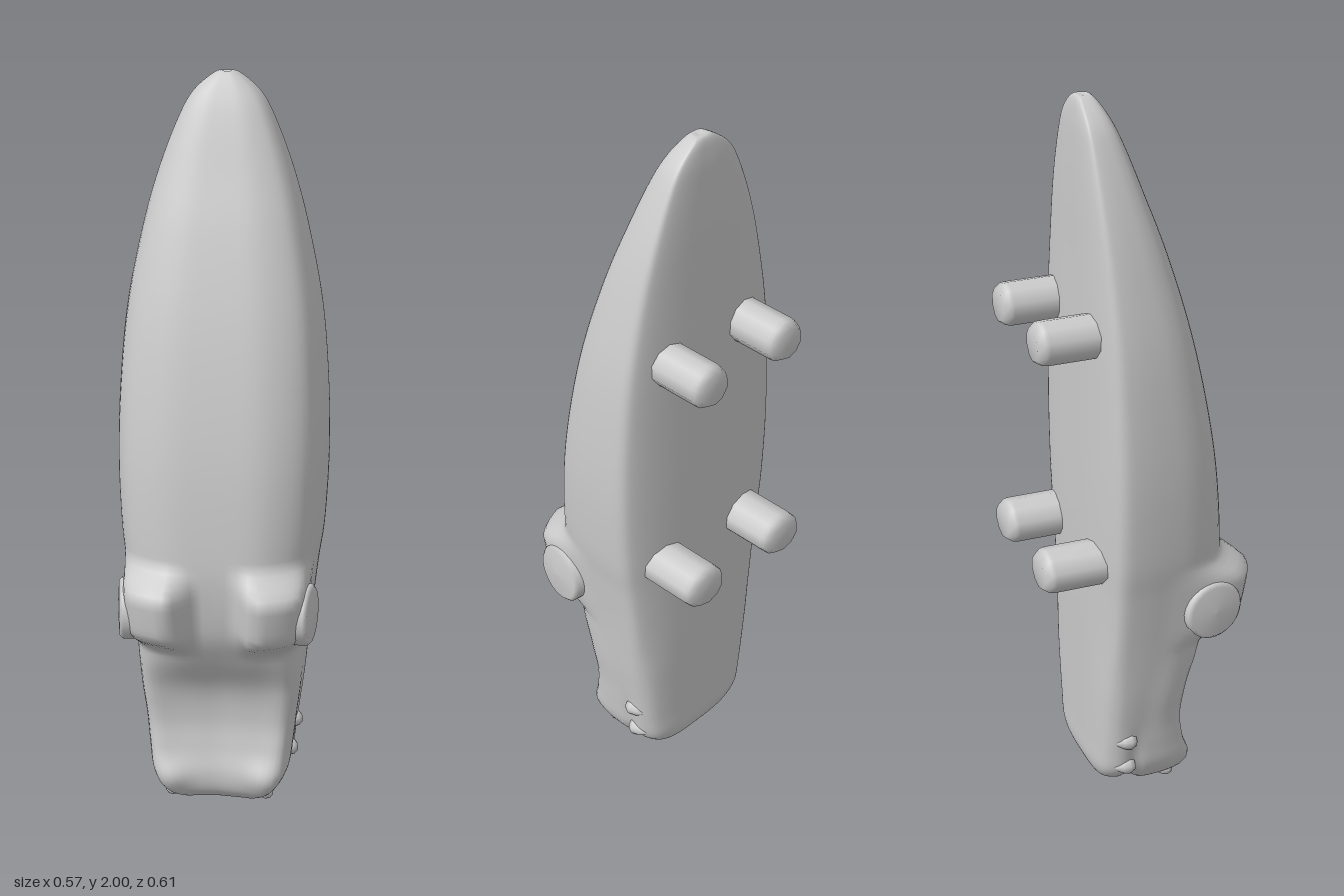
import * as THREE from 'three';

const material = () => new THREE.MeshStandardMaterial({ color: 0xcccccc });
const smooth = THREE.MathUtils.smoothstep;

// Body sections from tail tip to nose: height, half width, back z, front z
const SECTIONS = [
  [2.0, 0.0, -0.105, -0.105], [1.998, 0.03, -0.128, -0.085], [1.95, 0.088, -0.138, -0.052],
  [1.88, 0.128, -0.142, -0.02], [1.75, 0.178, -0.145, 0.027], [1.6, 0.22, -0.146, 0.08],
  [1.4, 0.26, -0.148, 0.138], [1.2, 0.279, -0.149, 0.183], [1.0, 0.285, -0.15, 0.216],
  [0.8, 0.276, -0.149, 0.234], [0.68, 0.26, -0.147, 0.235], [0.55, 0.245, -0.146, 0.215],
  [0.45, 0.235, -0.145, 0.175], [0.35, 0.225, -0.144, 0.125], [0.25, 0.212, -0.143, 0.108],
  [0.17, 0.203, -0.142, 0.118], [0.1, 0.192, -0.141, 0.135], [0.05, 0.165, -0.132, 0.128],
  [0.02, 0.125, -0.115, 0.1], [0.008, 0.08, -0.085, 0.06], [0.004, 0.0, -0.02, -0.02],
];

// Half outlines of a section: x as a share of half width, z as a share of depth
const outline = (pts) => new THREE.CatmullRomCurve3(
  pts.map(([x, z]) => new THREE.Vector3(x, z, 0)), false, 'catmullrom', 0.5);
const BODY = outline([[0, 0], [0.35, 0.002], [0.65, 0.025], [0.88, 0.07], [0.98, 0.13], [1, 0.25],
  [0.98, 0.45], [0.92, 0.68], [0.78, 0.86], [0.45, 0.985], [0, 1]]);
const SNOUT = outline([[0, 0], [0.35, 0.002], [0.65, 0.02], [0.86, 0.07], [0.97, 0.17], [1, 0.3],
  [0.99, 0.5], [0.97, 0.75], [0.85, 0.96], [0.5, 0.95], [0, 0.92]]);

function bodyGeometry() {
  const rows = 140, half = 40, ring = half * 2;
  const back = new THREE.CatmullRomCurve3(SECTIONS.map(([y, w, b]) => new THREE.Vector3(w, y, b)), false, 'catmullrom', 0.5);
  const front = new THREE.CatmullRomCurve3(SECTIONS.map(([y, w, , f]) => new THREE.Vector3(w, y, f)), false, 'catmullrom', 0.5);
  const positions = [], index = [];
  for (let i = 0; i <= rows; i++) {
    const b = back.getPoint(i / rows), f = front.getPoint(i / rows);
    const snout = 1 - smooth(b.y, 0.3, 0.55);
    for (let j = 0; j < ring; j++) {
      const t = (j <= half ? j : ring - j) / half, side = j <= half ? 1 : -1;
      const p = BODY.getPoint(t).lerp(SNOUT.getPoint(t), snout);
      let x = p.x * Math.max(b.x, 0), y = b.y, z = b.z + (f.z - b.z) * p.y;
      const facing = smooth(p.y, 0.45, 0.8);
      // brow ridges over the eyes
      const brow = smooth(x, 0.055, 0.1) * smooth(y, 0.47, 0.56) * (1 - smooth(y, 0.66, 0.75)) * facing;
      z += brow * (0.085 + 0.1 * Math.max(0, x - 0.13));
      x += brow * 0.012;
      // nostril bumps
      z += 0.014 * Math.exp(-(((x - 0.12) / 0.04) ** 2) - ((y - 0.09) / 0.04) ** 2) * facing;
      // mouth line along the sides and across the nose
      const groove = Math.exp(-(((z + 0.04) / 0.02) ** 2));
      x *= 1 - 0.06 * groove * (1 - smooth(y, 0.08, 0.28));
      y += (0.025 * groove + 0.018 * smooth(-z, 0.03, 0.06)) * (1 - smooth(y, 0.02, 0.12));
      positions.push(x * side, y, z);
    }
  }
  for (let i = 0; i < rows; i++) for (let j = 0; j < ring; j++) {
    const k = (j + 1) % ring, a = i * ring + j, b = i * ring + k;
    index.push(a, b, a + ring, b, b + ring, a + ring);
  }
  const g = new THREE.BufferGeometry();
  g.setAttribute('position', new THREE.Float32BufferAttribute(positions, 3));
  // keep the winding outward
  for (let n = 0; n < index.length; n += 3) [index[n + 1], index[n + 2]] = [index[n + 2], index[n + 1]];
  g.setIndex(index);
  orientOutward(g);
  g.computeVertexNormals();
  return g;
}

// Flip every face if the enclosed volume comes out negative
function orientOutward(g) {
  const p = g.attributes.position, ix = g.index.array;
  const v = [0, 1, 2].map(() => new THREE.Vector3());
  let volume = 0;
  for (let n = 0; n < ix.length; n += 3) {
    v.forEach((q, k) => q.fromBufferAttribute(p, ix[n + k]));
    volume += v[0].dot(v[1].clone().cross(v[2]));
  }
  if (volume < 0) for (let n = 0; n < ix.length; n += 3) [ix[n + 1], ix[n + 2]] = [ix[n + 2], ix[n + 1]];
}

const lathe = (pts, sides) => new THREE.LatheGeometry(pts.map(([r, y]) => new THREE.Vector2(r, y)), sides);

export function createModel() {
  const model = new THREE.Group();
  const add = (name, geometry, x, y, z) => {
    const mesh = new THREE.Mesh(geometry, material());
    mesh.name = name;
    mesh.position.set(x, y, z);
    model.add(mesh);
    return mesh;
  };
  add('body', bodyGeometry(), 0, 0, 0);

  const leg = lathe([[0.06, 0], [0.06, 0.17], [0.058, 0.182], [0.045, 0.2], [0, 0.2]], 10);
  const eye = lathe([[0.084, -0.04], [0.084, 0.006], [0.074, 0.016], [0, 0.02]], 24);
  const tooth = lathe([[0, -0.025], [0.018, -0.02], [0.026, -0.004], [0.02, 0.016], [0.008, 0.034], [0, 0.038]], 10);

  for (const s of [1, -1]) {
    const name = s > 0 ? 'left' : 'right';
    // stubby legs reach out behind
    for (const [part, x, y, wide] of [['HindLeg', 0.138, 1.412, 1], ['FrontLeg', 0.15, 0.763, 1.17]]) {
      const m = add(name + part, leg, s * x, y, -0.1);
      m.rotation.x = -Math.PI / 2;
      m.scale.x = wide;
    }
    // round eye discs on the sides of the brows
    const e = add(name + 'Eye', eye, s * 0.244, 0.6, 0.165);
    e.rotation.set(0, s * -0.15, s * -Math.PI / 2);
    // small teeth along the jaw
    for (const [x, y, z] of [[0.196, 0.2, -0.063], [0.184, 0.112, -0.063], [0.13, 0.034, 0.075]]) {
      const m = add(name + 'Tooth', tooth, s * x, y, z);
      m.rotation.x = -Math.PI / 2;
      if (z > 0) m.scale.setScalar(0.8);
    }
  }
  return model;
}
